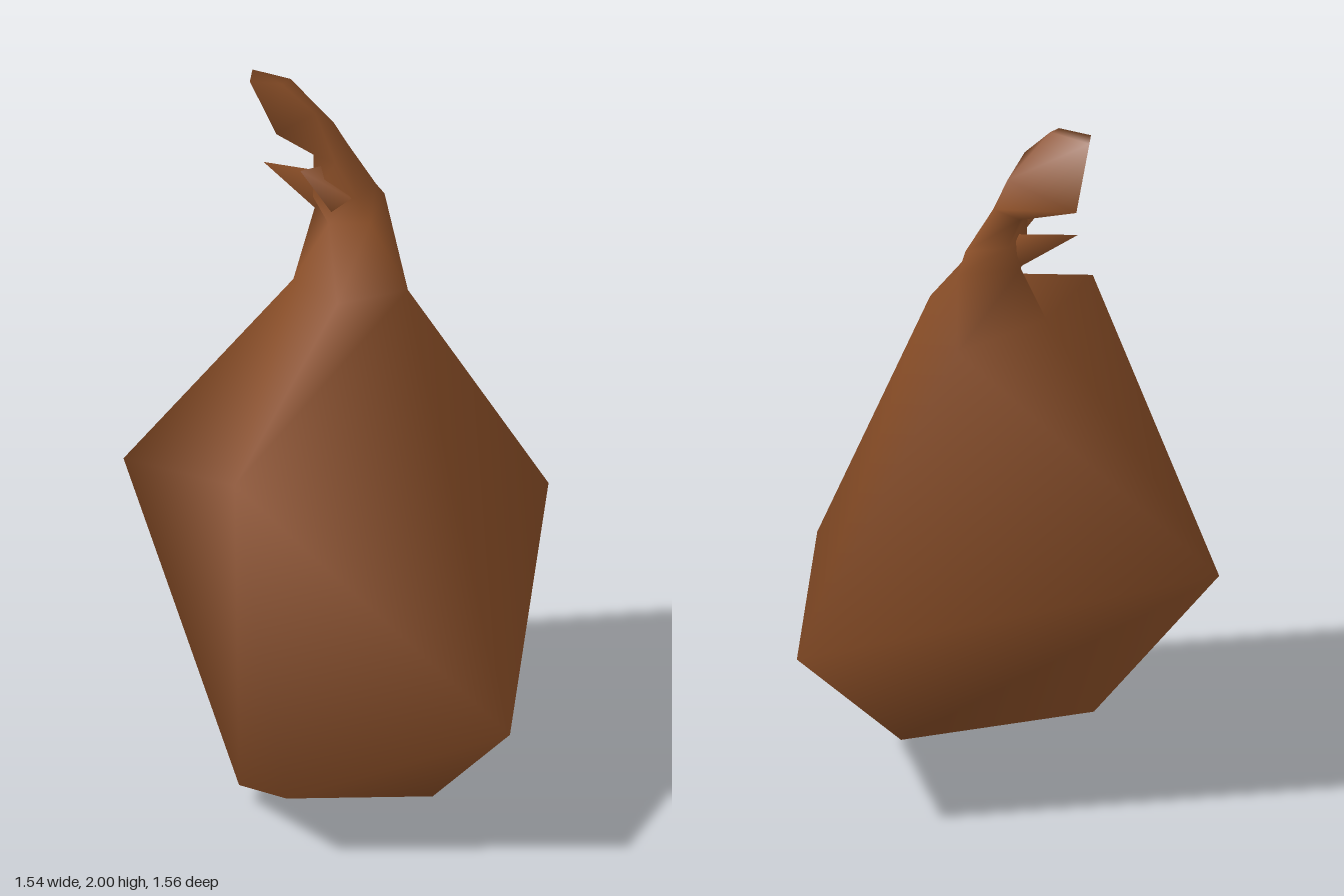
import * as THREE from 'three';

export function createModel() {
  const model = new THREE.Group();
  const leather = new THREE.MeshStandardMaterial({ color: 0x8a4e27, side: THREE.DoubleSide });
  leather.name = 'brown leather';

  // Corners of the sack: bottom, then the widest ring (front, left, back, right)
  const bottom = [[-0.08, 0, 0.31], [-0.46, 0.06, -0.08], [-0.64, 0.2, 0.24]];
  const corners = [[-0.31, 0.45, 0.78], [0.77, 0.55, 0.03], [-0.12, 0.72, -0.78], [-0.77, 1.22, 0.16]];

  // Cross-sections of the twisted neck, from the shoulder to the tip
  const rings = [
    [[0.12, 1.44, 0.055], [0.29, 1.37, -0.17], [0.01, 1.41, -0.27], [-0.1, 1.46, -0.02]],
    [[0.13, 1.6, -0.09], [0.29, 1.6, -0.17], [0.18, 1.62, -0.31], [0.08, 1.58, -0.2]],
    [[0.13, 1.66, -0.14], [0.24, 1.655, -0.16], [0.2, 1.68, -0.28], [0.06, 1.66, -0.24]],
    [[0.11, 1.76, -0.2], [0.19, 1.78, -0.22], [0.17, 1.76, -0.3], [0.11, 1.76, -0.28]],
    [[0.07, 1.92, -0.24], [0.15, 1.86, -0.24], [0.16, 1.82, -0.49], [0.08, 1.8, -0.39]],
    [[0.03, 2.0, -0.33], [0.07, 2.0, -0.33], [0.06, 1.99, -0.46], [0.0, 1.99, -0.42]],
  ];
  const points = [...bottom, ...corners, ...rings.flat()];
  const [E, F, G, C, B, A, D, H, I, J, K] = points.map((_, i) => i);

  // Body: underside, then shoulders
  const body = [
    C, E, B, B, E, A, E, F, A, A, F, D, F, G, D, G, C, D, G, E, C, G, F, E,
    C, B, H, B, I, H, B, A, I, A, J, I, A, D, J, D, K, J, D, C, H, D, H, K,
  ];

  // Neck: join each cross-section to the next and close the tip
  const neck = [];
  for (let r = 0; r < rings.length - 1; r++) {
    for (let i = 0; i < 4; i++) {
      const a = H + r * 4 + i, b = H + r * 4 + (i + 1) % 4;
      neck.push(a, b, b + 4, a, b + 4, a + 4);
    }
  }
  const tip = H + (rings.length - 1) * 4;
  neck.push(tip, tip + 1, tip + 2, tip, tip + 2, tip + 3);

  // Normals are computed once so that the shading runs smoothly across the join
  const whole = new THREE.BufferGeometry();
  whole.setAttribute('position', new THREE.Float32BufferAttribute(points.flat(), 3));
  whole.setIndex([...body, ...neck]);
  whole.computeVertexNormals();

  function addPart(name, index) {
    const geometry = new THREE.BufferGeometry();
    geometry.setAttribute('position', whole.getAttribute('position').clone());
    geometry.setAttribute('normal', whole.getAttribute('normal').clone());
    geometry.setIndex(index);
    const mesh = new THREE.Mesh(geometry, leather);
    mesh.name = name;
    model.add(mesh);
  }
  addPart('sackBody', body);
  addPart('twistedNeck', neck);

  // Loose folds where the neck is gathered
  function addFold(name, a, b, c, tipPoint) {
    const fold = new THREE.BufferGeometry();
    fold.setAttribute('position', new THREE.Float32BufferAttribute([a, b, c, tipPoint].flat(), 3));
    fold.setIndex([0, 1, 3, 1, 2, 3, 2, 0, 3]);
    fold.computeVertexNormals();
    const mesh = new THREE.Mesh(fold, leather);
    mesh.name = name;
    model.add(mesh);
  }
  addFold('backFold', [0.18, 1.62, -0.3], [0.07, 1.62, -0.24], [0.14, 1.7, -0.26], [0.06, 1.71, -0.42]);
  addFold('sideFold', [0.08, 1.62, -0.19], [0.12, 1.66, -0.15], [0.11, 1.74, -0.24], [0.04, 1.74, -0.27]);
  return model;
}
